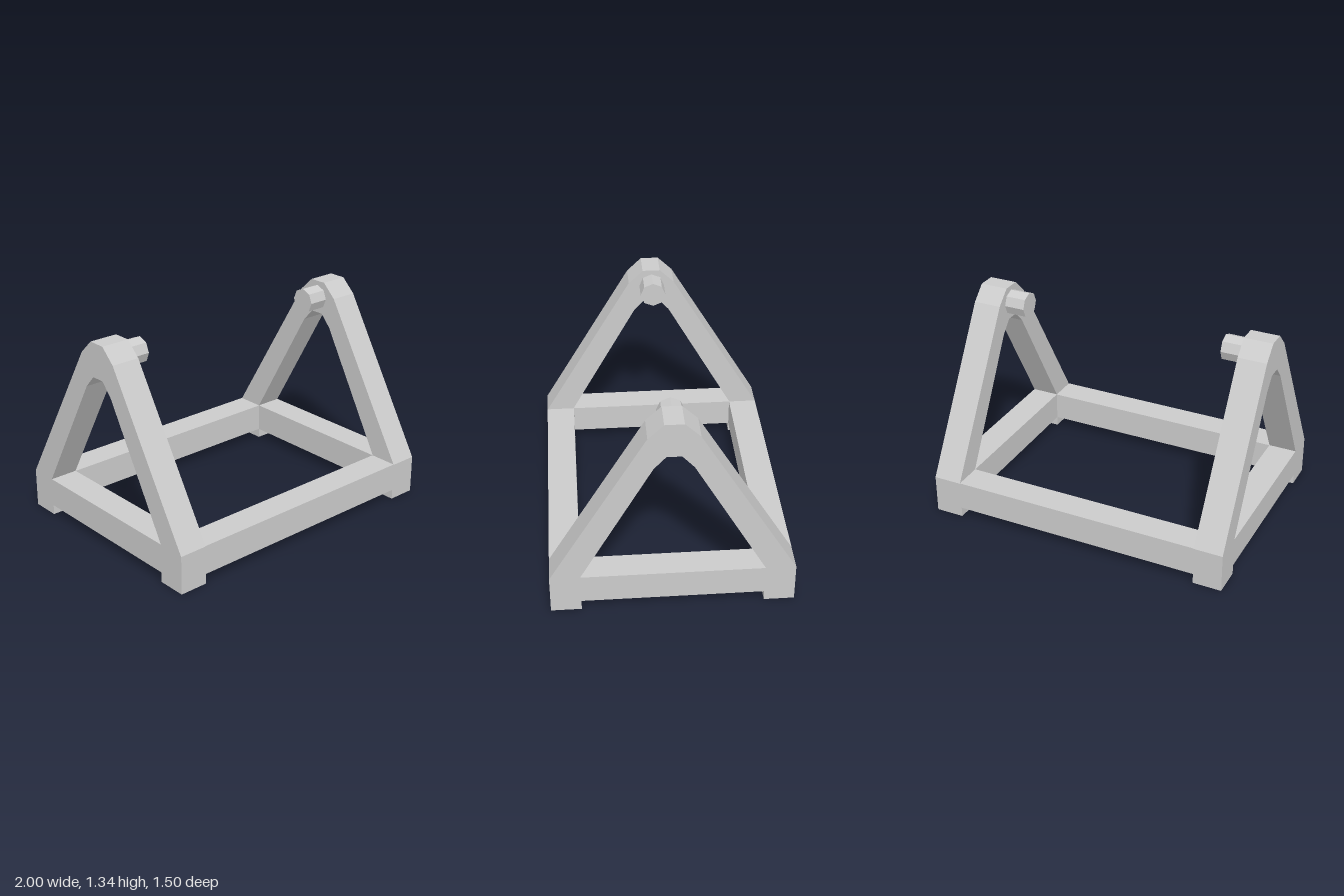
import * as THREE from 'three';

const W = 0.185; // thickness of every beam

export function createModel() {
  const group = new THREE.Group();
  const material = new THREE.MeshStandardMaterial({ color: 0xcccccc, flatShading: true });
  const add = (name, geometry, x, y, z) => {
    const mesh = new THREE.Mesh(geometry, material);
    mesh.name = name;
    mesh.position.set(x, y, z);
    group.add(mesh);
  };
  // Closed outline from its +z half (z, y), mirrored to -z
  const mirrored = (half) => [...half, ...half.map(([z, y]) => [-z, y]).reverse()]
    .map(([z, y]) => new THREE.Vector2(z, y));

  // A-shaped side frame with feet, profile in the z-y plane
  const profile = new THREE.Shape(mirrored([
    [0.56, 0.065], [0.56, 0], [0.748, 0], [0.748, 0.25], [0.152, 1.25], [0.058, 1.34],
  ]));
  profile.holes.push(new THREE.Path(mirrored([[0.562, 0.253], [0.118, 1.04], [0.045, 1.12]])));
  const frame = new THREE.ExtrudeGeometry(profile, { depth: W, bevelEnabled: false });
  frame.rotateY(-Math.PI / 2).translate(W / 2, 0, 0);

  // Eight-sided peg pointing inwards from the top of each frame
  const peg = new THREE.CylinderGeometry(0.083, 0.083, 0.135, 8);
  peg.rotateZ(Math.PI / 2);

  for (const [side, s] of [['left', 1], ['right', -1]]) {
    add(side + 'Frame', frame, s * (1 - W / 2), 0, 0);
    add(side + 'Peg', peg, s * 0.7475, 1.228, -0.003);
  }

  // Rails joining the two frames
  const rail = new THREE.BoxGeometry(2 - 2 * W, 0.188, 0.188);
  add('frontRail', rail, 0, 0.159, 0.654);
  add('backRail', rail, 0, 0.159, -0.654);

  return group;
}
